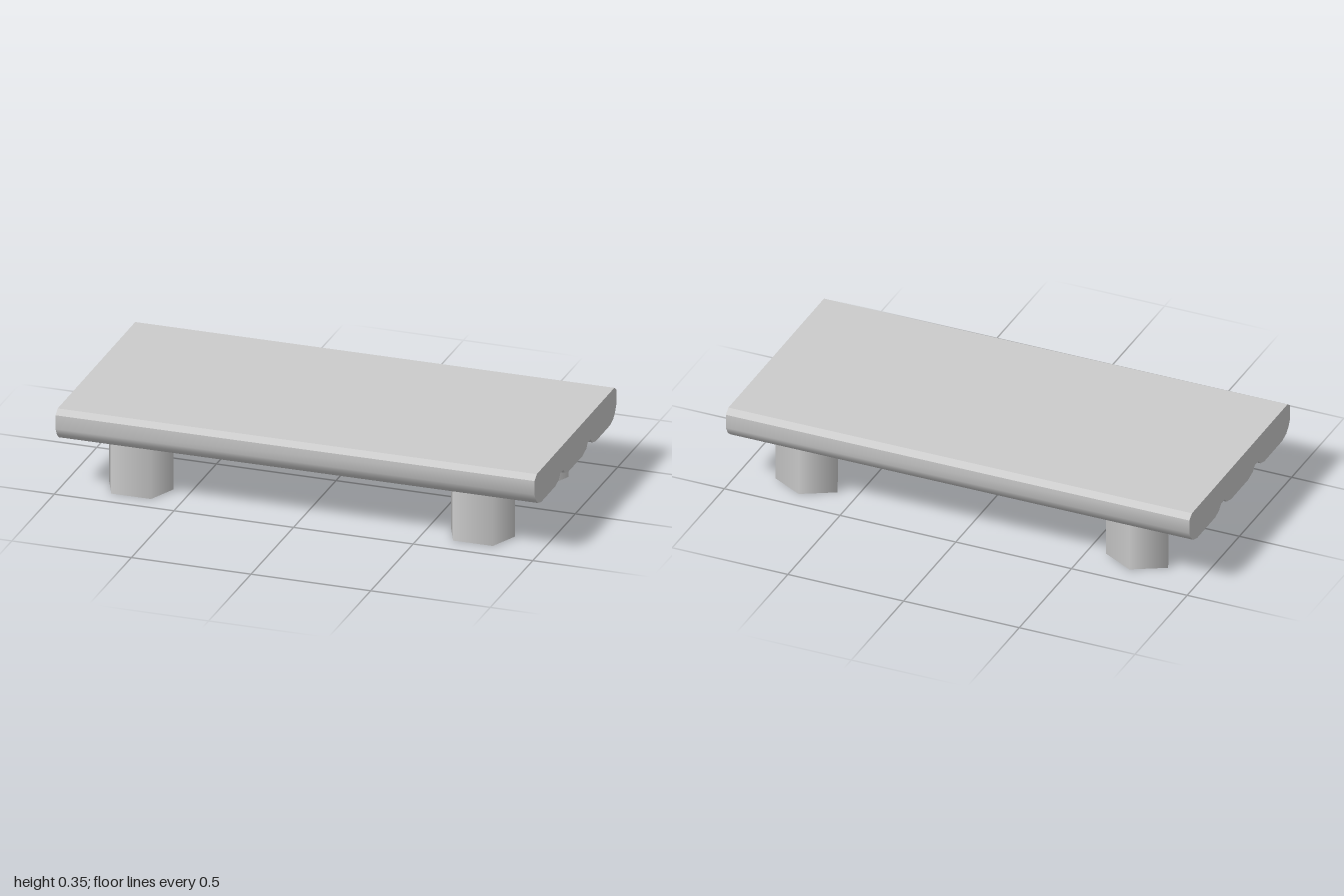
import * as THREE from 'three';
import { toCreasedNormals } from 'three/addons/utils/BufferGeometryUtils.js';

export function createModel() {
  const model = new THREE.Group();
  model.name = 'lowTable';
  const grey = new THREE.MeshStandardMaterial({ color: 0xcccccc });
  const greyOpen = new THREE.MeshStandardMaterial({ color: 0xcccccc, side: THREE.DoubleSide });

  // Top: half cross-section [z, y] from the underside centre up to the top, mirrored and extruded along x
  const half = [
    [0.082, 0.213], [0.128, 0.226], [0.144, 0.245], [0.18, 0.245], [0.2, 0.224], [0.238, 0.213],
    [0.409, 0.213], [0.449, 0.225], [0.47, 0.245], [0.487, 0.275], [0.487, 0.334], [0.461, 0.353],
  ];
  const mirrored = half.map(([z, y]) => [-z, y]).reverse();
  const profile = new THREE.Shape([...half, ...mirrored].map(([z, y]) => new THREE.Vector2(z, y)));
  const slab = new THREE.ExtrudeGeometry(profile, { depth: 2, bevelEnabled: false });
  slab.translate(0, 0, -1).rotateY(Math.PI / 2);
  const top = new THREE.Mesh(toCreasedNormals(slab, 0.6), grey);
  top.name = 'tableTop';
  model.add(top);

  // Legs: hollow five-sided tubes, wider along x, open at the bottom
  const height = 0.23;
  const tube = new THREE.CylinderGeometry(1, 1, height, 5, 1, true, Math.PI);
  tube.scale(0.141, 1, 0.107).translate(0, height / 2, 0);
  for (const [side, x] of [['Right', -0.709], ['Left', 0.718]]) {
    for (const [end, z] of [['front', 0.33], ['back', -0.307]]) {
      const leg = new THREE.Mesh(tube, greyOpen);
      leg.name = `${end}${side}Leg`;
      leg.position.set(x, 0, z);
      model.add(leg);
    }
  }

  // The whole table sits very slightly turned
  model.rotation.y = 0.0035;
  return model;
}
